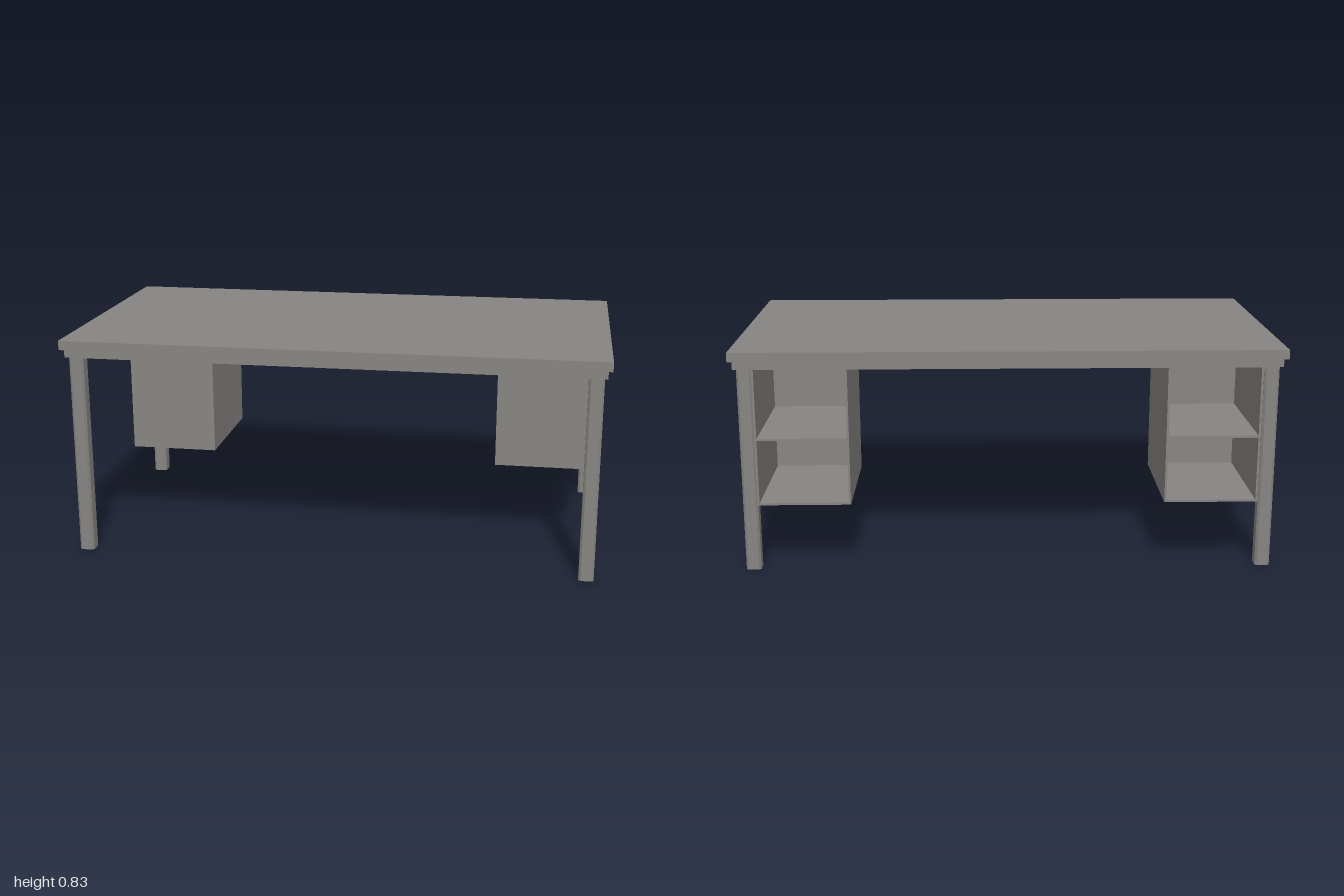
import * as THREE from 'three';

export function createModel() {
  const model = new THREE.Group();
  model.name = 'desk';
  const grey = new THREE.MeshStandardMaterial({ color: 0x878582 });
  grey.name = 'warm grey';

  // Box given by its minimum and maximum corners
  function box(parent, name, [x0, y0, z0], [x1, y1, z1]) {
    const mesh = new THREE.Mesh(new THREE.BoxGeometry(x1 - x0, y1 - y0, z1 - z0), grey);
    mesh.position.set((x0 + x1) / 2, (y0 + y1) / 2, (z0 + z1) / 2);
    mesh.name = name;
    parent.add(mesh);
  }

  const under = 0.793; // underside of the top
  box(model, 'tableTop', [-1, under, -0.53], [1, 0.828, 0.53]);

  // Thin apron frame below the top
  const ax = 0.985, az = 0.515, at = 0.012, ay = 0.762;
  for (const s of [-1, 1]) {
    const z = s * (az - at / 2), x = s * (ax - at / 2);
    box(model, 'apronLong', [-ax, ay, z - at / 2], [ax, under, z + at / 2]);
    box(model, 'apronShort', [x - at / 2, ay, -az + at], [x + at / 2, under, az - at]);
  }

  // Square legs with chamfered corners
  const h = 0.0275, c = h - 0.008;
  const section = new THREE.Shape(
    [[h, -c], [h, c], [c, h], [-c, h], [-h, c], [-h, -c], [-c, -h], [c, -h]]
      .map(([x, y]) => new THREE.Vector2(x, y)));
  const legGeometry = new THREE.ExtrudeGeometry(section, { depth: under, bevelEnabled: false });
  legGeometry.rotateX(-Math.PI / 2);
  for (const x of [-0.947, 0.947]) {
    for (const z of [-0.477, 0.477]) {
      const leg = new THREE.Mesh(legGeometry, grey);
      leg.position.set(x, 0, z);
      leg.name = 'leg';
      model.add(leg);
    }
  }

  // Hanging cabinets, open to the back, with one middle shelf
  const t = 0.008, y0 = 0.25, z0 = -0.5, z1 = -0.025;
  for (const [name, x0, x1] of [['rightCabinet', -0.918, -0.573], ['leftCabinet', 0.58, 0.922]]) {
    const cabinet = new THREE.Group();
    cabinet.name = name;
    box(cabinet, 'side', [x0, y0, z0], [x0 + t, under, z1]);
    box(cabinet, 'side', [x1 - t, y0, z0], [x1, under, z1]);
    box(cabinet, 'frontPanel', [x0 + t, y0, z1 - t], [x1 - t, under, z1]);
    box(cabinet, 'floor', [x0 + t, y0, z0], [x1 - t, y0 + t, z1 - t]);
    box(cabinet, 'shelf', [x0 + t, 0.495, z0], [x1 - t, 0.495 + t, z1 - t]);
    model.add(cabinet);
  }

  return model;
}
